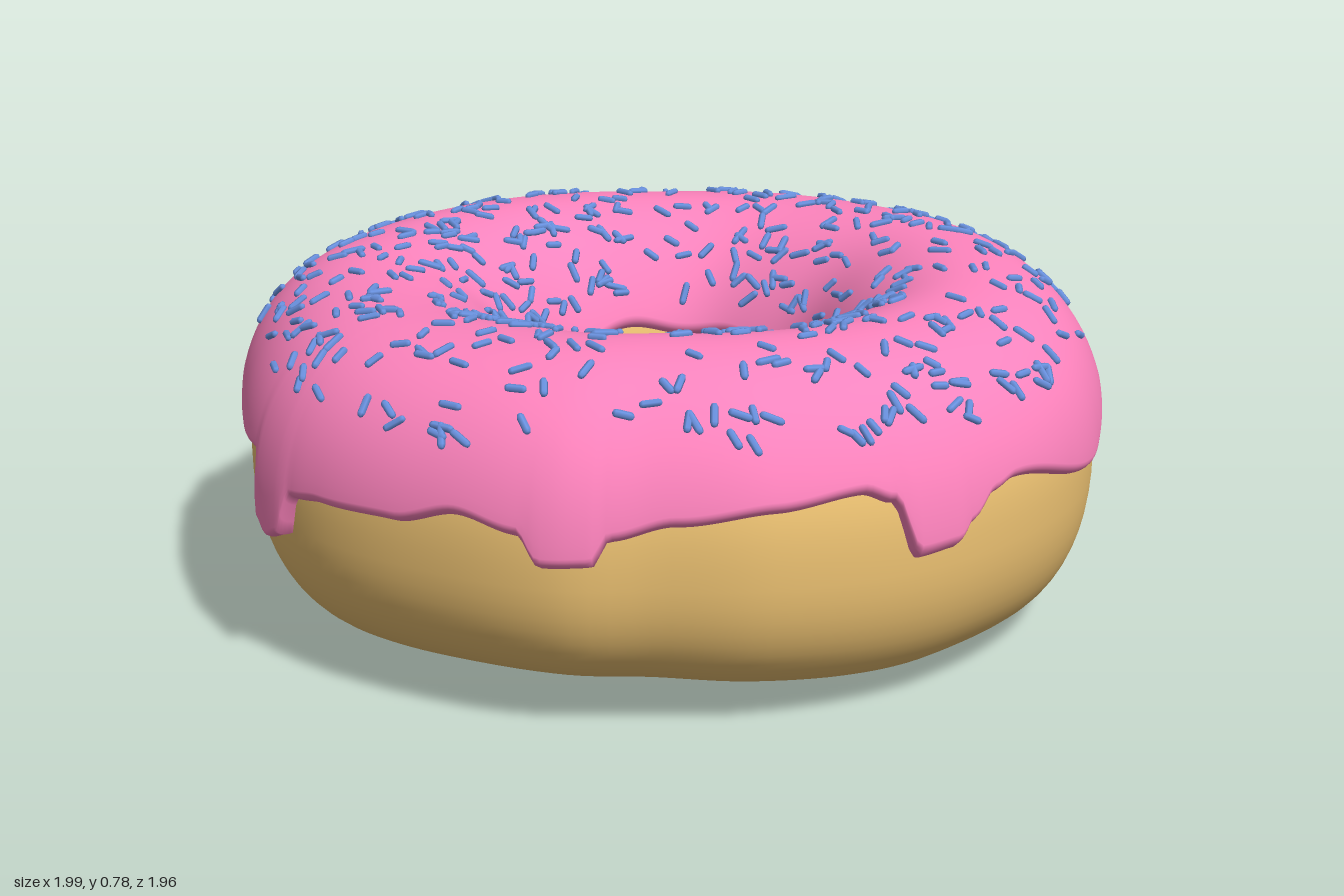
import * as THREE from 'three';
import { mergeGeometries } from 'three/addons/utils/BufferGeometryUtils.js';

const TAU = Math.PI * 2, DEG = Math.PI / 180;
const THICK = 0.025;

// Smooth periodic interpolation of [angle in degrees, value] pairs; angle 0 is +x, 90 is +z
function ring(table) {
  return (theta) => {
    const d = (((theta / DEG) % 360) + 360) % 360;
    let i = table.length - 1;
    while (i > 0 && table[i][0] > d) i--;
    const a = table[i], b = table[(i + 1) % table.length];
    const span = (b[0] - a[0] + 360) % 360;
    const u = (d - a[0]) / span;
    return a[1] + (b[1] - a[1]) * u * u * (3 - 2 * u);
  };
}

const outerRadius = ring([[0, 0.968], [30, 0.955], [45, 0.935], [57, 0.96], [75, 0.95], [95, 0.958], [125, 0.93],
  [150, 0.965], [180, 0.97], [205, 0.985], [225, 0.96], [245, 0.985], [270, 0.963], [300, 0.968], [335, 0.975]]);
const bottomHeight = ring([[0, 0.03], [55, 0.07], [110, 0.04], [200, 0.04], [265, 0.035], [318, 0.002]]);

// Height of the icing's outer edge, with its drips
const outerEdge = ring([[0, 0.47], [4, 0.42], [6.5, 0.375], [12, 0.37], [15, 0.5], [19, 0.525], [30, 0.505],
  [42, 0.48], [50, 0.45], [52, 0.395], [58, 0.39], [61, 0.455], [69, 0.48], [78, 0.44], [90, 0.43],
  [96, 0.415], [98.5, 0.315], [102, 0.295], [105, 0.315], [107.5, 0.46], [115, 0.45], [122, 0.46], [140, 0.5],
  [158, 0.49], [168, 0.46], [170, 0.265], [174, 0.25], [177, 0.47], [195, 0.48], [201, 0.45], [203.5, 0.325],
  [208, 0.31], [211, 0.45], [220, 0.47], [241, 0.4], [262, 0.46], [281, 0.47], [294, 0.42],
  [319, 0.51], [336, 0.41], [356, 0.485]]);
const innerEdge = (t) => 0.5 + 0.012 * Math.sin(9 * t) + 0.012 * Math.sin(5 * t + 1)
  + 0.05 * Math.exp(-(((t - 70 * DEG) / 0.6) ** 2));

// Distance from the axis to the wall of the hole, whose centre sits slightly back
const innerRadius = (t) => 0.325 - 0.035 * Math.sin(t) - 0.01 * Math.cos(t) + 0.005 * Math.sin(8 * t);

// Section shape: rounder shoulder than base, and a hole that is narrowest a little lower
const OUTER_Y = 0.39, INNER_Y = 0.34;
const power = (v, p) => Math.sign(v) * Math.abs(v) ** p;
const exponent = (outer, upper) => (outer ? (upper ? 2.2 : 2.45) : 2);

// Point on the ring at turn theta and section angle phi (0 outer, 90 top, 180 hole), grown by t
function surface(theta, phi, t = 0) {
  const ro = outerRadius(theta), ri = innerRadius(theta), y0 = bottomHeight(theta);
  const outer = Math.cos(phi) > 0, upper = Math.sin(phi) > 0;
  const n = 2 / exponent(outer, upper);
  const c = power(Math.cos(phi), n), s = power(Math.sin(phi), n);
  const mid = (ro + ri) / 2 + 0.01, cy = outer ? OUTER_Y : INNER_Y;
  const r = mid + c * ((outer ? ro - mid : mid - ri) + t);
  const top = 0.738 + 0.012 * Math.sin(theta * 2 + 0.6) * Math.sin(theta);
  const y = cy + s * ((upper ? top - cy : cy - y0) + t);
  return new THREE.Vector3(r * Math.cos(theta), y, r * Math.sin(theta));
}

// Section angle, measured from the horizontal, at which the icing reaches height y
function angleAt(y, outer) {
  const cy = outer ? OUTER_Y : INNER_Y;
  return Math.asin(power((y - cy) / (0.765 - cy), exponent(outer, y > cy) / 2));
}

// Icing point: row runs from the outer edge over the top to the hole edge, with rounded lips
const LIP = 6, ROWS = 54;
function icingPoint(theta, row) {
  const edge = outerEdge(theta);
  const a = angleAt(edge, true), b = Math.PI - angleAt(innerEdge(theta), false);
  const w = 0.06, back = ROWS - row;
  let phi, swell = 1;
  if (row < LIP || back < LIP) {
    const q = (Math.min(row, back) / LIP) * Math.PI / 2;
    swell = Math.sin(q);
    const inset = w * (1 - Math.cos(q));
    phi = row < LIP ? a + inset : b - inset;
  } else {
    phi = a + w + ((b - a - 2 * w) * (row - LIP)) / (ROWS - 2 * LIP);
  }
  const bulge = Math.max(0, 0.43 - edge) * 0.14 * Math.exp(-(phi - a) * 4);
  return surface(theta, phi, -0.006 + (THICK + 0.006 + bulge) * swell);
}

// Sheet closed around the axis, and optionally around the section
function ringGeometry(nTheta, nRows, closed, point) {
  const pos = [], index = [], count = closed ? nRows : nRows + 1;
  for (let i = 0; i < nTheta; i++) {
    for (let j = 0; j < count; j++) pos.push(...point((i / nTheta) * TAU, j).toArray());
  }
  for (let i = 0; i < nTheta; i++) {
    for (let j = 0; j < nRows; j++) {
      const i2 = ((i + 1) % nTheta) * count, i1 = i * count, j2 = (j + 1) % count;
      index.push(i1 + j, i1 + j2, i2 + j, i1 + j2, i2 + j2, i2 + j);
    }
  }
  const g = new THREE.BufferGeometry();
  g.setAttribute('position', new THREE.Float32BufferAttribute(pos, 3));
  g.setIndex(index);
  g.computeVertexNormals();
  return g;
}

// Small rods scattered flat over the icing, thinner between four loose clusters
function sprinkleGeometry(total) {
  let seed = 7;
  const rand = () => {
    seed = (seed * 16807) % 2147483647;
    return seed / 2147483647;
  };
  const rod = new THREE.CapsuleGeometry(0.0085, 0.033, 2, 6);
  const rods = [];
  while (rods.length < total) {
    const theta = rand() * TAU, phi = 0.62 + rand() * 1.95;
    if (rand() > 0.7 + 0.3 * Math.cos(4 * theta)) continue;
    const p = surface(theta, phi, THICK + 0.003);
    const along = surface(theta + 0.01, phi, THICK).sub(surface(theta - 0.01, phi, THICK)).normalize();
    const across = surface(theta, phi + 0.01, THICK).sub(surface(theta, phi - 0.01, THICK)).normalize();
    const spin = rand() * TAU;
    const dir = along.multiplyScalar(Math.cos(spin)).addScaledVector(across, Math.sin(spin)).normalize();
    const turn = new THREE.Quaternion().setFromUnitVectors(new THREE.Vector3(0, 1, 0), dir);
    const size = new THREE.Vector3(1, 0.8 + rand() * 0.4, 1);
    rods.push(rod.clone().applyMatrix4(new THREE.Matrix4().compose(p, turn, size)));
  }
  return mergeGeometries(rods);
}

export function createModel() {
  const group = new THREE.Group();
  group.name = 'donut';
  const add = (name, geometry, color, side = THREE.FrontSide) => {
    const mesh = new THREE.Mesh(geometry, new THREE.MeshStandardMaterial({ color, side }));
    mesh.name = name;
    group.add(mesh);
  };
  add('dough', ringGeometry(144, 64, true, (t, j) => surface(t, (j / 64) * TAU)), 0xeec373);
  add('icing', ringGeometry(480, ROWS, false, icingPoint), 0xff84be, THREE.DoubleSide);
  add('sprinkles', sprinkleGeometry(620), 0x6a92e0);
  return group;
}
